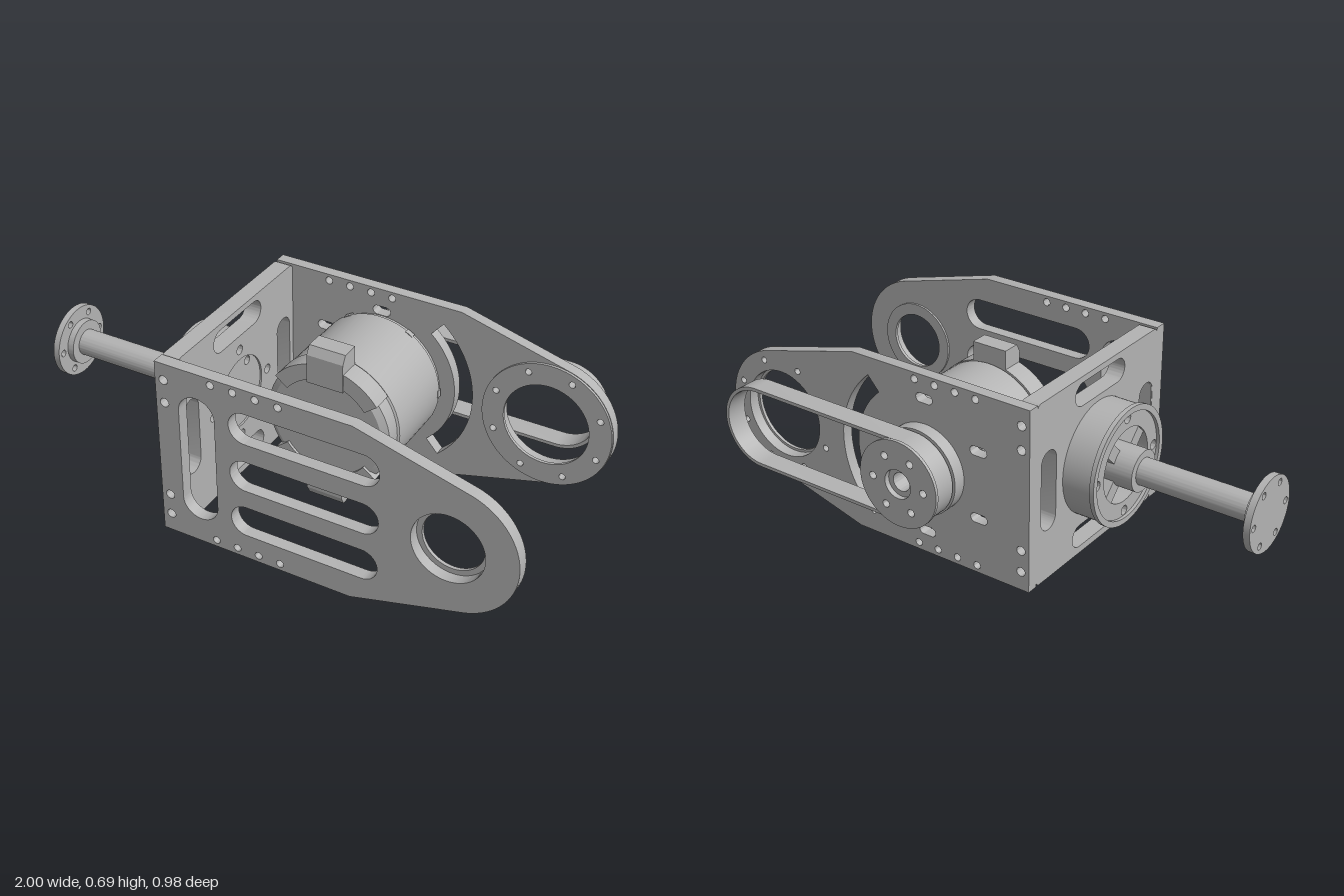
import * as THREE from 'three';
import { toCreasedNormals } from 'three/addons/utils/BufferGeometryUtils.js';

const CY = 0.348;              // common height of all axes
const MOTOR_X = 0.1, HUB_X = 0.755, SHAFT_Z = 0.07;

// Stadium path (a circle when w equals h)
function slot(cx, cy, w, h, T = THREE.Path) {
  const p = new T(), r = Math.min(w, h) / 2, dx = w / 2 - r, dy = h / 2 - r, q = Math.PI / 2;
  if (w >= h) {
    p.absarc(cx + dx, cy, r, -q, q, false);
    p.absarc(cx - dx, cy, r, q, 3 * q, false);
  } else {
    p.absarc(cx, cy + dy, r, 0, 2 * q, false);
    p.absarc(cx, cy - dy, r, 2 * q, 4 * q, false);
  }
  p.closePath();
  return p;
}
const circle = (x, y, r, T) => slot(x, y, 2 * r, 2 * r, T);
const boltCircle = (x, y, R, r, n, start = 0) => Array.from({ length: n }, (_, i) => {
  const a = start + i * 2 * Math.PI / n;
  return circle(x + R * Math.cos(a), y + R * Math.sin(a), r);
});
// Part of a ring between two radii
function arcBand(x, y, r0, r1, a0, a1, T = THREE.Path) {
  const p = new T();
  p.absarc(x, y, r1, a0, a1, false);
  p.absarc(x, y, r0, a1, a0, true);
  p.closePath();
  return p;
}

export function createModel() {
  const model = new THREE.Group();
  const grey = new THREE.MeshStandardMaterial({ color: 0xb3b3b3 });
  grey.name = 'metal grey';

  const add = (name, geo, parent = model) => {
    const m = new THREE.Mesh(toCreasedNormals(geo, 0.5), grey);
    m.name = name;
    parent.add(m);
    return m;
  };
  const extrude = (shape, holes, depth) => {
    shape.holes.push(...holes);
    return new THREE.ExtrudeGeometry(shape, { depth, bevelEnabled: false, curveSegments: 20 });
  };
  // Shape drawn in x,y and extruded from z0 to z1
  const alongZ = (name, shape, holes, z0, z1, parent) =>
    add(name, extrude(shape, holes, z1 - z0).translate(0, 0, z0), parent);
  // Shape drawn in z,y and extruded from x0 to x1
  const alongX = (name, shape, holes, x0, x1, parent) =>
    add(name, extrude(shape, holes, x1 - x0).rotateY(-Math.PI / 2).translate(x1, 0, 0), parent);
  const discZ = (name, x, r, holes, z0, z1) => alongZ(name, circle(x, CY, r, THREE.Shape), holes, z0, z1);
  const discX = (name, r, holes, x0, x1) => alongX(name, circle(SHAFT_Z, CY, r, THREE.Shape), holes, x0, x1);

  // Tapered side plates with a round nose
  const sideOutline = () => {
    const s = new THREE.Shape();
    s.moveTo(-0.333, 0);
    s.lineTo(0.41, 0);
    s.absarc(HUB_X, CY, 0.245, -1.3, 1.3, false);
    s.lineTo(0.41, 0.695);
    s.lineTo(-0.333, 0.695);
    s.closePath();
    return s;
  };
  const screwHoles = () => [
    ...[-0.115, -0.03, 0.055, 0.14].flatMap(x => [circle(x, 0.67, 0.014), circle(x, 0.027, 0.014)]),
    ...[0.63, 0.54, 0.156, 0.072].map(y => circle(-0.3, y, 0.017)),
  ];
  alongZ('frontPlate', sideOutline(), [
    ...screwHoles(),
    circle(HUB_X, CY, 0.13),
    slot(-0.175, CY, 0.14, 0.5),
    ...[0.54, CY, 0.158].map(y => slot(0.23, y, 0.56, 0.12)),
  ], 0.44, 0.487);
  discZ('frontBearingLip', HUB_X, 0.155, [circle(HUB_X, CY, 0.11)], 0.432, 0.445);

  const tension = [90, 150, 210, 270].map(d => {
    const a = d * Math.PI / 180;
    return slot(MOTOR_X + 0.26 * Math.cos(a), CY + 0.26 * Math.sin(a), 0.07, 0.035);
  });
  alongZ('backPlate', sideOutline(), [
    ...screwHoles(), ...tension,
    ...boltCircle(HUB_X, CY, 0.21, 0.012, 8, 0.39),
    circle(HUB_X, CY, 0.17),
    arcBand(MOTOR_X, CY, 0.3, 0.37, -0.85, 0.85),
  ], -0.338, -0.295);
  discZ('backBearingLip', HUB_X, 0.243,
    [circle(HUB_X, CY, 0.16), ...boltCircle(HUB_X, CY, 0.21, 0.012, 8, 0.39)], -0.297, -0.285);

  // End plate with rounded corners joining the side plates
  const end = new THREE.Shape(), q = Math.PI / 2;
  end.absarc(0.42, 0.02, 0.02, -q, 0, false);
  end.absarc(0.42, 0.675, 0.02, 0, q, false);
  end.absarc(-0.275, 0.675, 0.02, q, 2 * q, false);
  end.absarc(-0.275, 0.02, 0.02, 2 * q, 3 * q, false);
  end.closePath();
  alongX('endPlate', end, [
    slot(0.3815, CY, 0.088, 0.305), slot(-0.2265, CY, 0.088, 0.305),
    slot(0.0775, 0.628, 0.305, 0.088), slot(0.0775, 0.071, 0.305, 0.088),
    circle(SHAFT_Z, CY, 0.14), ...boltCircle(SHAFT_Z, CY, 0.18, 0.018, 4),
  ], -0.333, -0.268);
  // Narrow rails closing the seams between the plates
  for (const [z0, z1] of [[0.42, 0.445], [-0.298, -0.275]]) {
    const rail = new THREE.BoxGeometry(0.063, 0.65, z1 - z0);
    add('cornerRail', rail.translate(-0.3, CY, (z0 + z1) / 2));
  }

  // Round bearing housing, spoked hub and output shaft
  discX('bearingHousing', 0.214,
    [circle(SHAFT_Z, CY, 0.14), ...boltCircle(SHAFT_Z, CY, 0.18, 0.018, 4)], -0.45, -0.333);
  discX('housingRim', 0.222, [circle(SHAFT_Z, CY, 0.2)], -0.462, -0.445);
  discX('hubDisc', 0.14, boltCircle(SHAFT_Z, CY, 0.118, 0.017, 4, 0.5), -0.36, -0.275);
  for (let i = 0; i < 2; i++) {
    const spoke = add('hubSpoke', new THREE.BoxGeometry(0.09, 0.275, 0.05));
    spoke.position.set(-0.4, CY, SHAFT_Z);
    spoke.rotation.x = Math.PI / 4 + i * Math.PI / 2;
  }
  discX('shaftClamp', 0.077, [], -0.52, -0.36);
  discX('shaft', 0.05, [], -0.96, -0.5);
  discX('shaftCollar', 0.085, [], -0.975, -0.95);
  discX('shaftFlange', 0.137, boltCircle(SHAFT_Z, CY, 0.11, 0.013, 6), -1, -0.975);

  // Motor body
  const motor = new THREE.Group();
  motor.name = 'motor';
  motor.position.set(MOTOR_X, CY, 0);
  model.add(motor);
  const profile = [[0, -0.296], [0.24, -0.296], [0.24, -0.278], [0.247, -0.278], [0.247, 0.025],
    [0.24, 0.03], [0.24, 0.085], [0.215, 0.1], [0, 0.1]].map(p => new THREE.Vector2(...p));
  add('motorBody', new THREE.LatheGeometry(profile, 64).rotateX(Math.PI / 2), motor);
  for (let i = 0; i < 6; i++) {
    const lug = add('motorLug', new THREE.BoxGeometry(0.01, 0.03, 0.02), motor);
    const a = i * Math.PI / 3;
    lug.position.set(0.244 * Math.cos(a), 0.244 * Math.sin(a), -0.277);
    lug.rotation.z = a;
  }
  // Opposed clamp arcs, each with a chamfered ear
  for (let i = 0; i < 2; i++) {
    const clamp = new THREE.Group();
    clamp.name = 'motorClamp';
    clamp.rotation.z = i * Math.PI;
    motor.add(clamp);
    alongZ('clampArc', arcBand(0, 0, 0.19, 0.25, 0.65, Math.PI - 0.65, THREE.Shape), [], 0.03, 0.11, clamp);
    const ear = new THREE.Shape([[0.03, 0.17], [0.115, 0.17], [0.115, 0.28], [0.097, 0.312], [0.03, 0.312]]
      .map(p => new THREE.Vector2(...p)));
    alongX('clampEar', ear, [], -0.07, 0.07, clamp);
  }

  // Toothed pulley with flanges
  const faceHoles = () => [circle(MOTOR_X, CY, 0.055), ...boltCircle(MOTOR_X, CY, 0.108, 0.014, 6)];
  discZ('pulleyInnerFlange', MOTOR_X, 0.164, [], -0.387, -0.335);
  discZ('pulleyOuterFlange', MOTOR_X, 0.164, faceHoles(), -0.49, -0.478);
  const teeth = 40, gear = [];
  for (let i = 0; i < teeth * 4; i++) {
    const a = i / (teeth * 4) * Math.PI * 2, r = i % 4 < 2 ? 0.148 : 0.134;
    gear.push(new THREE.Vector2(MOTOR_X + r * Math.cos(a), CY + r * Math.sin(a)));
  }
  alongZ('pulleyTeeth', new THREE.Shape(gear), faceHoles(), -0.48, -0.385);
  discZ('pulleyBore', MOTOR_X, 0.056, [circle(MOTOR_X, CY, 0.035)], -0.47, -0.385);

  // Flat belt reaching round the nose bearing
  const mid = (MOTOR_X + HUB_X) / 2, span = HUB_X - MOTOR_X;
  alongZ('belt', slot(mid, CY, span + 0.316, 0.316, THREE.Shape),
    [slot(mid, CY, span + 0.29, 0.29)], -0.474, -0.393);

  return model;
}
